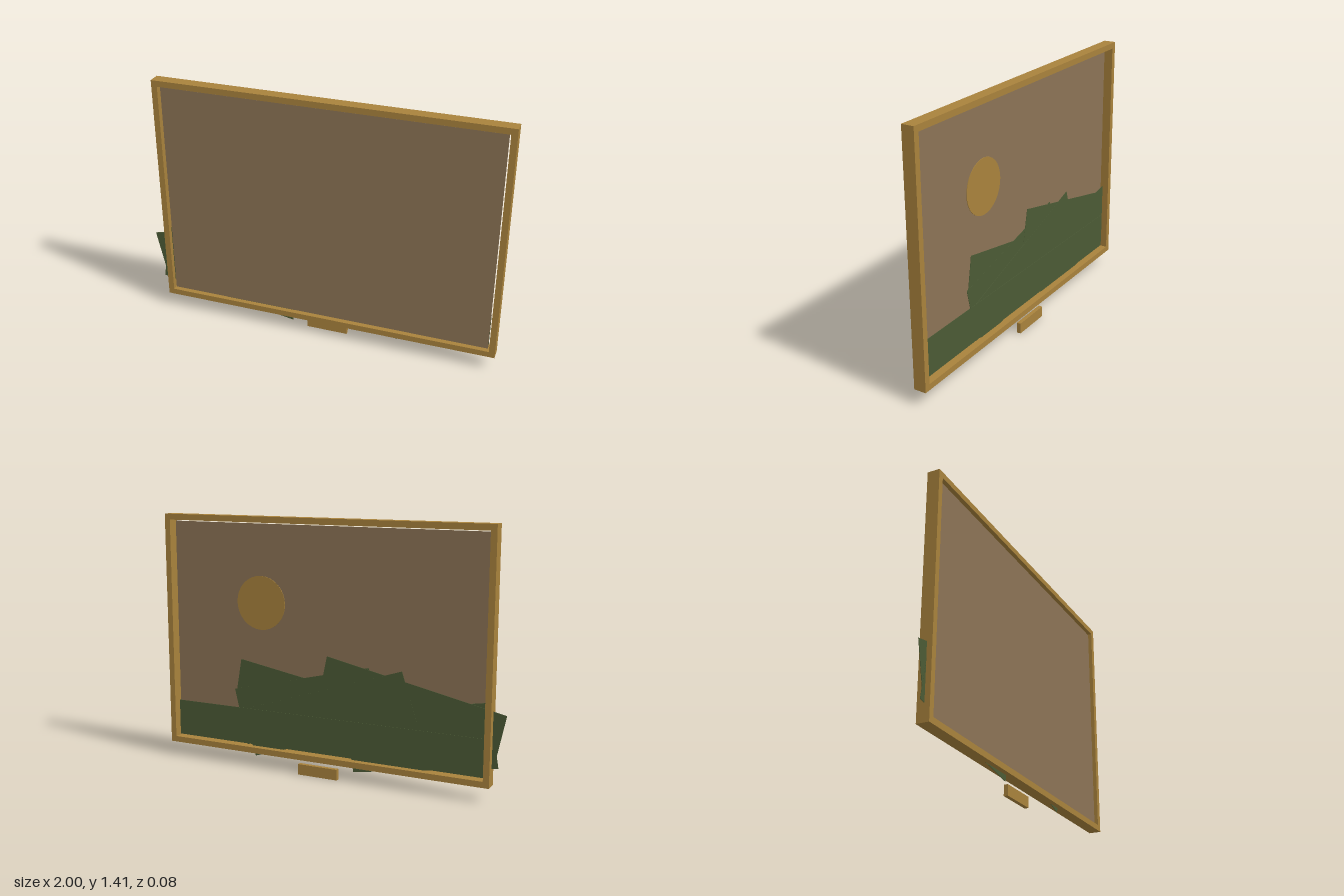
import * as THREE from 'three';

const gold = new THREE.MeshStandardMaterial({ color: 0xa8823c });
const linen = new THREE.MeshStandardMaterial({ color: 0x8b7355 });
const green = new THREE.MeshStandardMaterial({ color: 0x4b5a35 });

export function createModel() {
  const group = new THREE.Group();
  group.name = 'framedLandscape';

  const add = (name, geometry, material, x, y, z, roll = 0) => {
    const mesh = new THREE.Mesh(geometry, material);
    mesh.name = name;
    mesh.position.set(x, y, z);
    mesh.rotation.z = THREE.MathUtils.degToRad(roll);
    group.add(mesh);
    return mesh;
  };

  // Frame: rectangle with a rectangular opening
  const W = 1.93, H = 1.33, bar = 0.033, cx = 0.035, cy = 0.745;
  const rect = (target, w, h) => {
    target.moveTo(-w / 2, -h / 2);
    target.lineTo(w / 2, -h / 2);
    target.lineTo(w / 2, h / 2);
    target.lineTo(-w / 2, h / 2);
    target.closePath();
    return target;
  };
  const outline = rect(new THREE.Shape(), W, H);
  outline.holes.push(rect(new THREE.Path(), W - 2 * bar, H - 2 * bar));
  add('frame', new THREE.ExtrudeGeometry(outline, { depth: 0.068, bevelEnabled: false }),
    gold, cx, cy, -0.028);

  // Canvas, with a narrow gap to the frame; the picture is on its rear face
  add('canvas', new THREE.BoxGeometry(1.847, 1.248, 0.004), linen, cx, cy, 0.02);

  // Sun disc
  const disc = new THREE.CylinderGeometry(0.15, 0.15, 0.003, 32).rotateX(Math.PI / 2);
  add('sun', disc, gold, 0.407, 0.934, 0.0155);

  // Hills: thin tilted slabs [centre x, centre y, width, height, roll in degrees]
  const hills = [
    [0.16, 0.44, 0.8, 0.2, 10],
    [0.13, 0.373, 0.85, 0.325, -13.6],
    [-0.534, 0.281, 0.816, 0.342, -9.5],
    [-0.471, 0.429, 1.022, 0.28, 12],
    [0.0075, 0.343, 1.02, 0.275, -18],
  ];
  hills.forEach(([x, y, w, h, roll], i) =>
    add(`hill${i + 1}`, new THREE.BoxGeometry(w, h, 0.002), green, x, y, 0.012 - i * 0.0006, roll));

  // Foreground meadow along the bottom of the canvas
  add('meadow', new THREE.BoxGeometry(1.847, 0.206, 0.002), green, cx, 0.224, 0.007);

  // Small blank plate below the frame
  add('plaque', new THREE.BoxGeometry(0.235, 0.06, 0.023), gold, 0.035, 0.03, -0.027);

  return group;
}
